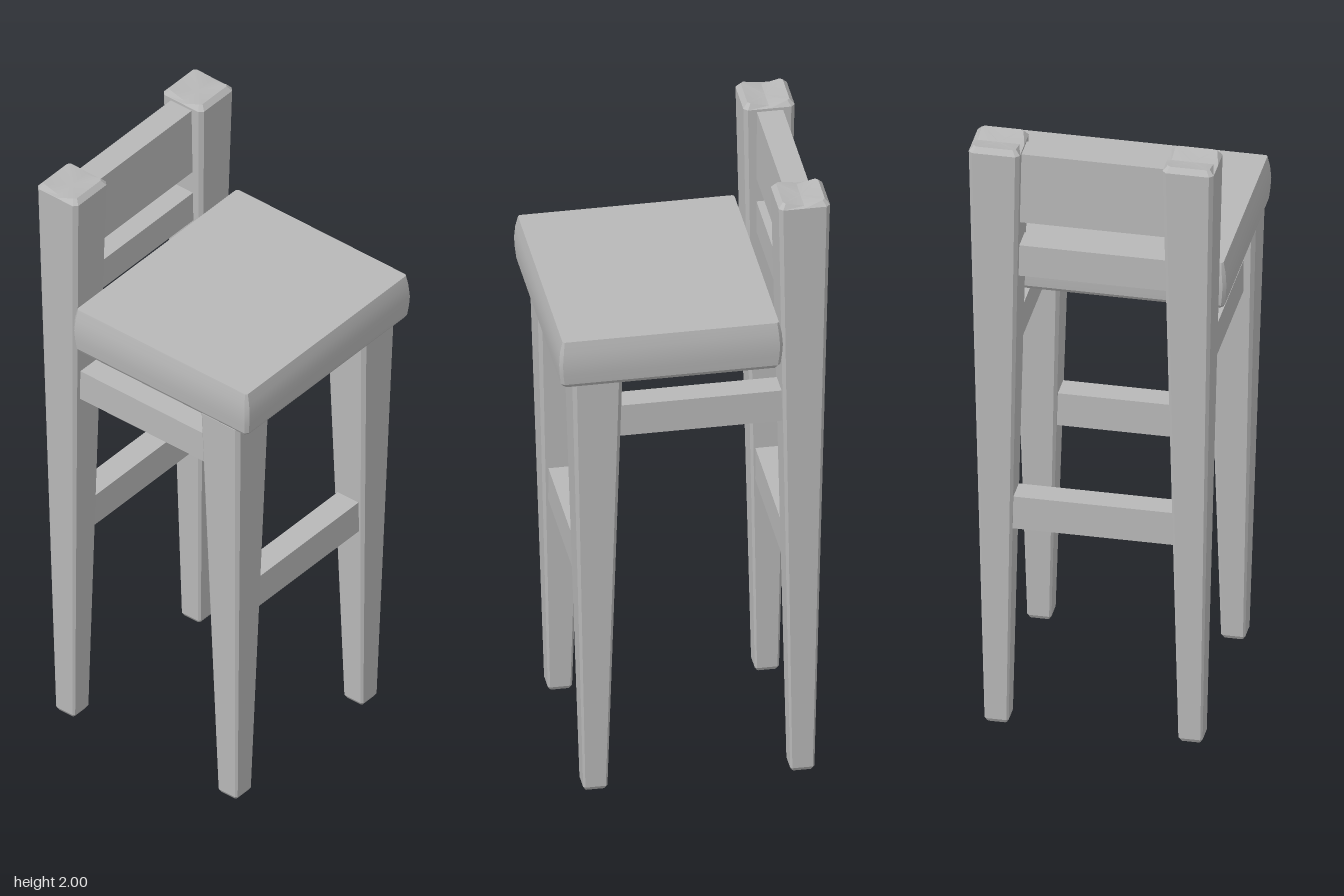
import * as THREE from 'three';
import { toCreasedNormals } from 'three/addons/utils/BufferGeometryUtils.js';

// Stack of chamfered rectangles: each ring is [y, halfX, halfZ, chamfer, dip at mid-side].
function loft(rings) {
  const pos = [], idx = [];
  const outline = ([y, w, d, c, dip = 0]) => [
    [w, y - dip, 0], [w, y, d - c], [w - c, y, d], [c - w, y, d], [-w, y, d - c],
    [-w, y - dip, 0], [-w, y, c - d], [c - w, y, -d], [w - c, y, -d], [w, y, c - d],
  ];
  const n = 10;
  rings.forEach((r) => outline(r).forEach((p) => pos.push(...p)));
  for (let k = 0; k < rings.length - 1; k++) {
    for (let i = 0; i < n; i++) {
      const a = k * n + i, b = k * n + (i + 1) % n;
      idx.push(a, a + n, b, b, a + n, b + n);
    }
  }
  // End caps
  const last = rings.length - 1, bottom = rings.length * n, top = bottom + 1;
  pos.push(0, rings[0][0], 0, 0, rings[last][0] - (rings[last][4] || 0), 0);
  for (let i = 0; i < n; i++) {
    const j = (i + 1) % n;
    idx.push(bottom, i, j, top, last * n + j, last * n + i);
  }
  const g = new THREE.BufferGeometry();
  g.setAttribute('position', new THREE.Float32BufferAttribute(pos, 3));
  g.setIndex(idx);
  return toCreasedNormals(fixWinding(g), 0.4);
}

// Turn every face outward from the central axis of the convex loft.
function fixWinding(g) {
  const p = g.attributes.position, id = g.index.array;
  g.computeBoundingBox();
  const mid = g.boundingBox.getCenter(new THREE.Vector3());
  const [a, b, c] = [0, 1, 2].map(() => new THREE.Vector3());
  for (let i = 0; i < id.length; i += 3) {
    [a, b, c].forEach((v, k) => v.fromBufferAttribute(p, id[i + k]).sub(mid));
    const normal = b.clone().sub(a).cross(c.clone().sub(a));
    if (normal.dot(a) < 0) [id[i + 1], id[i + 2]] = [id[i + 2], id[i + 1]];
  }
  return g;
}

export function createModel() {
  const grey = new THREE.MeshStandardMaterial({ color: 0xb8b8b8 });
  grey.name = 'plain grey';
  const group = new THREE.Group();
  group.name = 'barChair';

  const add = (name, geometry, x, y, z) => {
    const mesh = new THREE.Mesh(geometry, grey);
    mesh.name = name;
    mesh.position.set(x, y, z);
    group.add(mesh);
  };

  // Tapered square leg with chamfered edges
  const leg = (height, half, dip) => loft([
    [0, 0.03, 0.03, 0.004],
    [0.012, 0.037, 0.037, 0.006],
    [height - 0.016, half, half, 0.012],
    [height, half - 0.014, half - 0.014, 0.008, dip],
  ]);

  // Seat with gently bulging sides
  add('seat', loft([
    [1.443, 0.375, 0.326, 0.01],
    [1.455, 0.382, 0.334, 0.01],
    [1.49, 0.386, 0.338, 0.01],
    [1.525, 0.388, 0.34, 0.01],
    [1.565, 0.385, 0.337, 0.01],
    [1.6, 0.378, 0.329, 0.006],
  ]), 0, 0, 0.072);

  // Legs, side rails
  const sides = [['left', 0.291], ['right', -0.301]];
  for (const [side, x] of sides) {
    add(side + 'FrontLeg', leg(1.46, 0.076, 0), x, 0, 0.292);
    add(side + 'BackPost', leg(2, 0.078, 0.014), x, 0, -0.337);
    add(side + 'SideRail', new THREE.BoxGeometry(0.08, 0.105, 0.53), x, 1.282, -0.027);
  }

  // Cross rails between the legs and the back posts: [name, height, y, z]
  const crossRails = [
    ['frontFootRail', 0.11, 0.735, 0.292],
    ['backFootRail', 0.11, 0.735, -0.338],
    ['lowerBackRail', 0.105, 1.608, -0.338],
    ['backrestBoard', 0.235, 1.858, -0.338],
  ];
  for (const [name, height, y, z] of crossRails) {
    add(name, new THREE.BoxGeometry(0.53, height, 0.08), -0.005, y, z);
  }
  return group;
}
